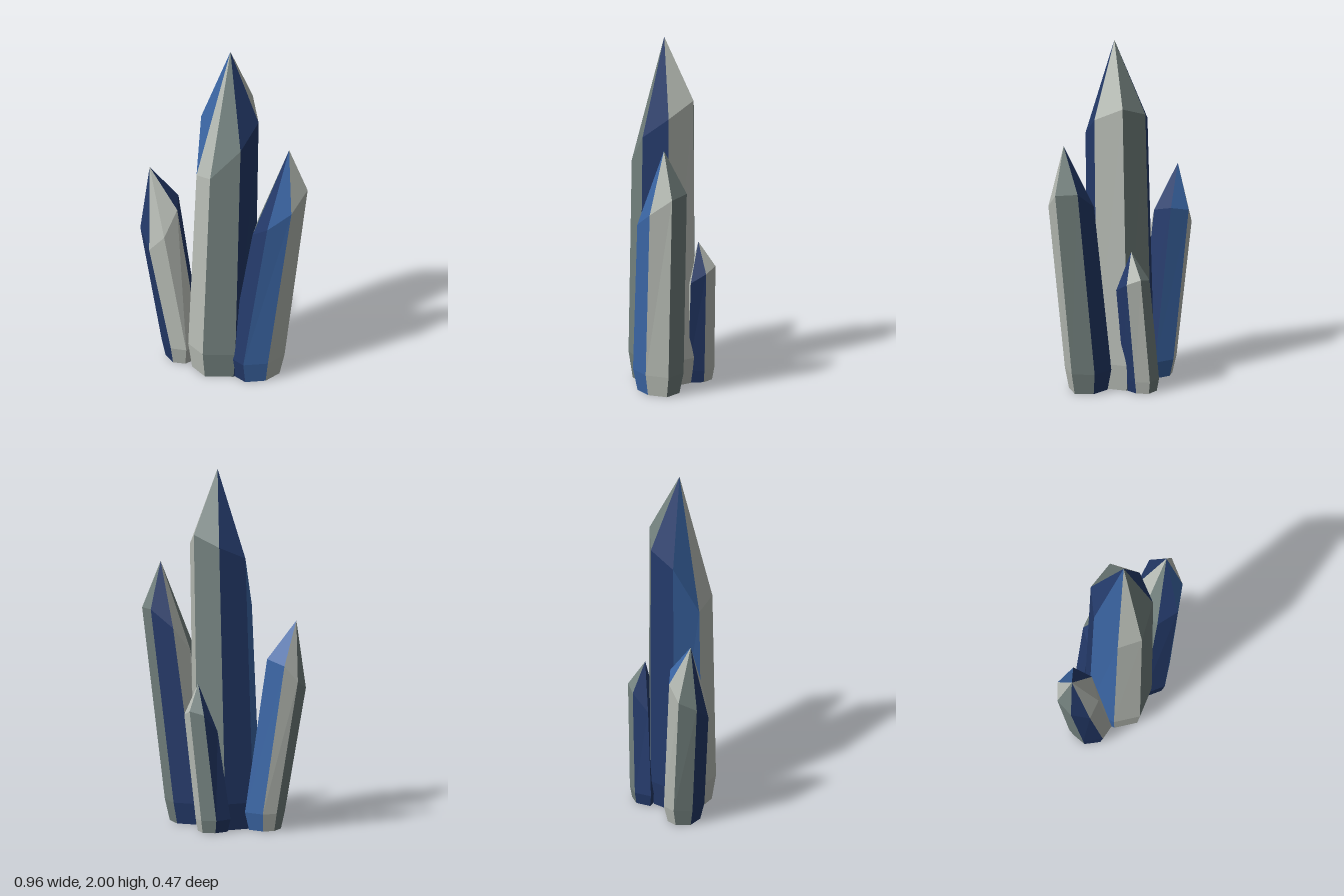
import * as THREE from 'three';

function material(name, color) {
  const m = new THREE.MeshStandardMaterial({ color });
  m.name = name;
  return m;
}

// Each crystal: tip, shoulder ring [x, y, z, colour of the face to the next corner],
// the lean of the shaft from foot to shoulder, its widening at the foot, and the foot height.
const CRYSTALS = [
  {
    name: 'mainCrystal', tip: [0.035, 2, 0.04], lean: [0.035, 0], grow: 1.07, footY: 0.15, inset: 0.88, cap: 'light',
    ring: [
      [-0.14, 1.23, 0.115, 'light'], [-0.04, 1.27, 0.21, 'slate'], [0.125, 1.45, 0.175, 'navy'],
      [0.195, 1.57, 0.04, 'light'], [0.125, 1.65, -0.11, 'slate'], [-0.03, 1.59, -0.135, 'navy'],
      [-0.15, 1.52, -0.035, 'blue'],
    ],
  },
  {
    name: 'leftCrystal', tip: [0.382, 1.45, 0.095], lean: [0.135, 0], grow: 1.02, footY: 0.12, inset: 0.83, cap: 'navy',
    ring: [
      [0.29, 1.0, 0.23, 'blue'], [0.415, 1.09, 0.18, 'light'], [0.48, 1.19, 0.065, 'slate'],
      [0.4, 1.2, -0.03, 'navy'], [0.27, 1.1, -0.03, 'light'], [0.2, 0.97, 0.06, 'slate'],
      [0.19, 0.92, 0.16, 'navy'],
    ],
  },
  {
    name: 'rightCrystal', tip: [-0.433, 1.18, 0.005], lean: [-0.125, 0], grow: 1.03, footY: 0.1, inset: 0.8, cap: 'blue',
    ring: [
      [-0.41, 0.71, 0.11, 'light'], [-0.325, 0.8, 0.11, 'light'], [-0.27, 0.94, 0.03, 'navy'],
      [-0.29, 0.97, -0.08, 'blue'], [-0.4, 0.94, -0.11, 'light'], [-0.465, 0.85, -0.07, 'slate'],
      [-0.48, 0.8, 0.03, 'navy'],
    ],
  },
  {
    name: 'backCrystal', tip: [0.09, 0.82, -0.142], lean: [0.07, 0], grow: 1.05, footY: 0.07, inset: 0.85, cap: 'navy',
    ring: [
      [0.155, 0.6, -0.09, 'navy'], [0.16, 0.65, -0.175, 'light'], [0.11, 0.68, -0.235, 'slate'],
      [0.03, 0.66, -0.225, 'navy'], [-0.025, 0.56, -0.15, 'navy'], [0.06, 0.56, -0.08, 'light'],
    ],
  },
];

function makeCrystal(spec, materials) {
  const { ring, tip, lean, grow, footY, inset } = spec;
  const n = ring.length;
  const cx = ring.reduce((s, p) => s + p[0], 0) / n;
  const cz = ring.reduce((s, p) => s + p[2], 0) / n;
  const level = (scale, y) => ring.map((p) =>
    [cx + (p[0] - cx) * scale - lean[0], y, cz + (p[2] - cz) * scale - lean[1]]);
  const foot = level(grow, footY);
  const base = level(grow * inset, 0);
  const baseCentre = [cx - lean[0], 0, cz - lean[1]];

  // Triangles gathered by colour
  const faces = {};
  const tri = (colour, a, b, c) => (faces[colour] ??= []).push(...a, ...b, ...c);
  const quad = (colour, a, b, c, d) => { tri(colour, a, b, c); tri(colour, a, c, d); };

  for (let i = 0; i < n; i++) {
    const j = (i + 1) % n;
    const colour = ring[i][3];
    const a = ring[i].slice(0, 3), b = ring[j].slice(0, 3);
    quad(colour, base[i], base[j], foot[j], foot[i]); // bevelled foot
    quad(colour, foot[i], foot[j], b, a);             // shaft
    tri(colour, a, b, tip);                           // point
    tri(spec.cap, base[j], base[i], baseCentre);      // underside
  }

  const group = new THREE.Group();
  group.name = spec.name;
  for (const [colour, positions] of Object.entries(faces)) {
    const geometry = new THREE.BufferGeometry();
    geometry.setAttribute('position', new THREE.Float32BufferAttribute(positions, 3));
    geometry.computeVertexNormals();
    const mesh = new THREE.Mesh(geometry, materials[colour]);
    mesh.name = `${colour}Facets`;
    group.add(mesh);
  }
  return group;
}

export function createModel() {
  const materials = {
    light: material('light grey stone', 0xb9beb7),
    slate: material('slate grey stone', 0x74827f),
    blue: material('blue stone', 0x3c68a8),
    navy: material('navy stone', 0x243a6a),
  };
  const model = new THREE.Group();
  model.name = 'crystalCluster';
  for (const spec of CRYSTALS) model.add(makeCrystal(spec, materials));
  return model;
}
